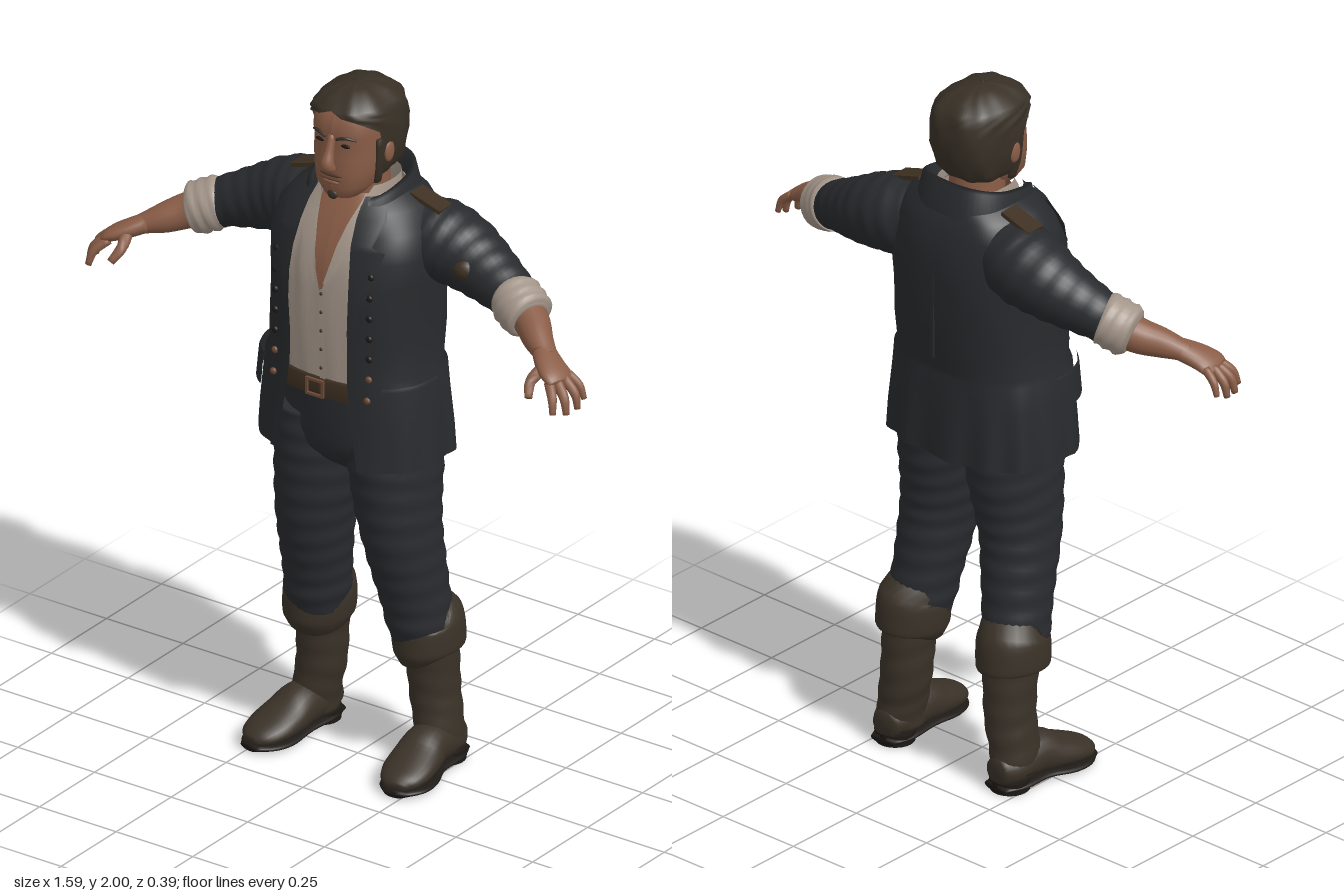
import * as THREE from 'three';

const mat = (name, color) => {
  const m = new THREE.MeshStandardMaterial({ color, side: THREE.DoubleSide });
  m.name = name;
  return m;
};
const M = {
  skin: mat('skin', 0x8a5d47), stubble: mat('stubble', 0x58402f), hair: mat('hair', 0x383026),
  jacket: mat('jacket cloth', 0x282a2d), trousers: mat('trouser cloth', 0x2a2b2f), shirt: mat('linen', 0xa4968a),
  boot: mat('boot leather', 0x3a3228), belt: mat('belt leather', 0x3e3022), metal: mat('copper', 0x6e4a36),
  dark: mat('dark', 0x1d1916),
};
const V = (x, y, z) => new THREE.Vector3(x, y, z);
const POW = 0.8; // squareness of body cross-sections

// Surface through rows of points
function grid(rows, closed) {
  const n = rows[0].length, m = closed ? n : n - 1, idx = [];
  for (let j = 0; j < rows.length - 1; j++) for (let i = 0; i < m; i++) {
    const a = j * n + i, b = j * n + (i + 1) % n;
    idx.push(a, b, b + n, a, b + n, a + n);
  }
  const g = new THREE.BufferGeometry().setFromPoints(rows.flat());
  g.setIndex(idx);
  g.computeVertexNormals();
  return g;
}

// Closed limb along keys [x, y, z, depth radius, side radius], with optional folds
function limb(keys, { segs = 20, steps = 4, ref = V(0, 0, 1), fold = 0, freq = 130 } = {}) {
  const path = new THREE.CatmullRomCurve3(keys.map(k => V(k[0], k[1], k[2])), false, 'catmullrom');
  const size = new THREE.CatmullRomCurve3(keys.map(k => V(k[3], k[4] ?? k[3], 0)), false, 'catmullrom');
  const N = (keys.length - 1) * steps, rows = [];
  let s = 0, last = path.getPoint(0);
  for (let j = -1; j <= N + 1; j++) {
    const u = Math.min(Math.max(j / N, 0), 1), p = path.getPoint(u), r = size.getPoint(u), t = path.getTangent(u);
    if (j < 0 || j > N) r.set(0.0005, 0.0005, 0);
    const b = ref.clone().addScaledVector(t, -ref.dot(t)).normalize(), n = t.clone().cross(b);
    s += p.distanceTo(last);
    last = p;
    rows.push(Array.from({ length: segs }, (_, i) => {
      const a = i / segs * Math.PI * 2, w = 1 + fold * Math.sin(s * freq + 2 * Math.sin(a + 1));
      return p.clone().addScaledVector(b, r.x * w * Math.cos(a)).addScaledVector(n, r.y * w * Math.sin(a));
    }));
  }
  return grid(rows, true);
}

// Point on a body section [y, half width, front z, back z, half opening]
function onSection([y, rx, zf, zb], t, off = 0) {
  const f = v => Math.sign(v) * Math.abs(v) ** POW;
  return V((rx + off) * f(Math.sin(t)), y, (zf + zb) / 2 + ((zf - zb) / 2 + off) * f(Math.cos(t)));
}
const angleAt = (k, x) => Math.asin(Math.min(x / k[1], 1) ** (1 / POW));
function sectionAt(keys, y) {
  const j = Math.max(1, keys.findIndex(k => k[0] >= y)), a = keys[j - 1], b = keys[j];
  return a.map((v, i) => THREE.MathUtils.lerp(v, b[i], (y - a[0]) / (b[0] - a[0])));
}
// Garment wrapped round the body, open at the front
function wrap(keys, { segs = 48, ripple = () => 0 } = {}) {
  return grid(keys.map(k => {
    const t0 = angleAt(k, k[4]);
    return Array.from({ length: segs + 1 }, (_, i) => {
      const t = t0 + (Math.PI * 2 - 2 * t0) * i / segs;
      return onSection(k, t, ripple(t, k[0]));
    });
  }), false);
}
// Thin piece lying on a garment, rows of [y, inner x, outer x]
function patch(keys, rows, off) {
  return grid(rows.map(([y, x0, x1]) => {
    const k = sectionAt(keys, y), a = angleAt(k, x0), b = angleAt(k, x1);
    return Array.from({ length: 9 }, (_, i) => onSection(k, a + (b - a) * i / 8, off));
  }), false);
}
function mirrored(g) {
  const m = g.clone().scale(-1, 1, 1), ix = m.index.array;
  for (let i = 0; i < ix.length; i += 3) [ix[i], ix[i + 1]] = [ix[i + 1], ix[i]];
  return m;
}
const ball = (x, y, z, a, b, c) => new THREE.SphereGeometry(1, 16, 10).scale(a, b, c).translate(x, y, z);

const JACKET = [
  [0.95, 0.272, 0.198, -0.188, 0.13], [1.03, 0.268, 0.193, -0.186, 0.12], [1.12, 0.258, 0.19, -0.182, 0.105],
  [1.195, 0.25, 0.187, -0.178, 0.096], [1.21, 0.238, 0.185, -0.176, 0.095], [1.3, 0.234, 0.186, -0.19, 0.095],
  [1.4, 0.235, 0.186, -0.198, 0.098], [1.48, 0.238, 0.183, -0.2, 0.1], [1.55, 0.24, 0.172, -0.198, 0.095],
  [1.62, 0.225, 0.145, -0.188, 0.085], [1.67, 0.185, 0.115, -0.172, 0.08], [1.705, 0.125, 0.085, -0.15, 0.075]];
const SHIRT = [
  [1.15, 0.2, 0.165, -0.15, 0], [1.3, 0.21, 0.174, -0.16, 0], [1.44, 0.21, 0.171, -0.17, 0.002],
  [1.5, 0.21, 0.163, -0.17, 0.022], [1.55, 0.2, 0.152, -0.165, 0.032], [1.62, 0.175, 0.122, -0.15, 0.047],
  [1.67, 0.13, 0.09, -0.14, 0.06], [1.7, 0.1, 0.07, -0.13, 0.065]];
const HEAD = [
  [1.688, 0.025, 0.085, 0.03, 0], [1.7, 0.05, 0.112, 0, 0], [1.735, 0.08, 0.124, -0.05, 0], [1.78, 0.092, 0.124, -0.08, 0],
  [1.82, 0.098, 0.122, -0.1, 0], [1.86, 0.099, 0.118, -0.11, 0], [1.885, 0.101, 0.123, -0.11, 0], [1.92, 0.1, 0.117, -0.108, 0],
  [1.95, 0.09, 0.1, -0.095, 0], [1.975, 0.06, 0.06, -0.06, 0], [1.985, 0.001, 0.001, -0.001, 0]];
const HAIR = [
  [1.75, 0.085, 0.08, -0.1, 0.08], [1.78, 0.104, 0.1, -0.126, 0.1], [1.84, 0.114, 0.12, -0.142, 0.111],
  [1.895, 0.114, 0.13, -0.144, 0.109], [1.925, 0.112, 0.13, -0.14, 0.088], [1.943, 0.108, 0.13, -0.135, 0.035],
  [1.957, 0.1, 0.122, -0.126, 0], [1.98, 0.076, 0.094, -0.1, 0], [1.995, 0.04, 0.056, -0.06, 0], [2, 0.001, 0.001, -0.001, 0]];

export function createModel() {
  const model = new THREE.Group();
  model.name = 'standingMan';
  const add = (name, g, m) => {
    const mesh = new THREE.Mesh(g, m);
    mesh.name = name;
    model.add(mesh);
  };
  const pair = (name, g, m) => {
    add(name + 'Left', g, m);
    add(name + 'Right', mirrored(g), m);
  };

  // Head and face
  add('head', wrap(HEAD), M.skin);
  add('neck', limb([[0, 1.58, -0.03, 0.085, 0.09], [0, 1.66, -0.025, 0.075, 0.078], [0, 1.76, -0.015, 0.075, 0.075]]), M.skin);
  add('hair', wrap(HAIR, { segs: 72, ripple: (t, y) => 0.003 * Math.sin(9 * t + 40 * y) }), M.hair);
  add('nose', limb([[0, 1.885, 0.116, 0.01, 0.01], [0, 1.84, 0.13, 0.014, 0.013], [0, 1.806, 0.14, 0.019, 0.02], [0, 1.79, 0.13, 0.014, 0.022]]), M.skin);
  add('mouth', ball(0, 1.757, 0.123, 0.033, 0.004, 0.005), M.stubble);
  add('lowerLip', ball(0, 1.748, 0.121, 0.026, 0.007, 0.007), M.skin);
  add('moustache', ball(0, 1.77, 0.122, 0.036, 0.007, 0.006), M.stubble);
  add('chinTuft', ball(0, 1.708, 0.115, 0.016, 0.014, 0.008), M.hair);
  pair('eye', ball(0.04, 1.86, 0.113, 0.016, 0.006, 0.005), M.dark);
  pair('eyebrow', limb([[0.018, 1.878, 0.123, 0.004], [0.045, 1.887, 0.119, 0.005], [0.07, 1.879, 0.102, 0.003]], { segs: 8 }), M.hair);
  pair('ear', ball(0.108, 1.825, 0.008, 0.01, 0.032, 0.02), M.skin);
  pair('sideburn', limb([[0.1, 1.87, 0.035, 0.016, 0.01], [0.094, 1.79, 0.03, 0.018, 0.009], [0.082, 1.735, 0.025, 0.014, 0.008]]), M.hair);

  // Chest, shirt and belt
  add('chest', wrap(SHIRT.map(([y, x, f, b]) => [y, x - 0.008, f - 0.008, b + 0.008, 0])), M.skin);
  add('shirt', wrap(SHIRT, { segs: 96, ripple: (t, y) => 0.002 * Math.sin(22 * t + 9 * y) }), M.shirt);
  pair('shirtLapel', patch(SHIRT, [[1.47, 0.012, 0.02], [1.52, 0.025, 0.052], [1.58, 0.036, 0.075], [1.64, 0.05, 0.09], [1.69, 0.062, 0.092]], 0.01), M.shirt);
  add('shirtCollar', wrap([[1.655, 0.105, 0.095, -0.125, 0.062], [1.69, 0.1, 0.085, -0.12, 0.068], [1.725, 0.096, 0.07, -0.12, 0.08]]), M.shirt);
  add('shirtPlacket', patch(SHIRT, [[1.18, 0, 0.018], [1.3, 0, 0.018], [1.45, 0, 0.018]], 0.005), M.shirt);
  for (let i = 0; i < 5; i++) add('shirtButton', ball(0.009, 1.22 + i * 0.055, 0.18, 0.005, 0.005, 0.003), M.belt);
  add('belt', wrap([[1.13, 0.218, 0.17, -0.165, 0], [1.132, 0.223, 0.178, -0.17, 0], [1.183, 0.22, 0.18, -0.17, 0], [1.186, 0.212, 0.168, -0.16, 0]]), M.belt);
  for (const s of [-1, 1]) {
    add('buckleBar', new THREE.BoxGeometry(0.055, 0.007, 0.008).translate(-0.01, 1.158 + s * 0.022, 0.182), M.metal);
    add('buckleSide', new THREE.BoxGeometry(0.007, 0.05, 0.008).translate(-0.01 + s * 0.026, 1.158, 0.182), M.metal);
  }

  // Jacket with pleated skirt, collar, lapels, pockets and buttons
  add('jacket', wrap(JACKET, {
    segs: 96,
    ripple: (t, y) => y < 1.2 ? 0.005 * Math.sin(14 * t) * (1.2 - y) / 0.25 * (Math.cos(t) < 0.3 ? 1.3 : 0.3) : 0.002 * Math.sin(6 * t + 25 * y),
  }), M.jacket);
  const collarRow = (rx, zf, zb, t0, low, high) => Array.from({ length: 41 }, (_, i) => {
    const t = t0 + (Math.PI * 2 - 2 * t0) * i / 40;
    return onSection([low + (high - low) * (1 - Math.cos(t)) / 2, rx, zf, zb], t);
  });
  add('jacketCollar', grid([collarRow(0.15, 0.125, -0.172, 0.65, 1.64, 1.675), collarRow(0.135, 0.115, -0.155, 0.72, 1.69, 1.755),
    collarRow(0.122, 0.1, -0.138, 0.8, 1.695, 1.758), collarRow(0.115, 0.095, -0.13, 0.8, 1.66, 1.7)], false), M.jacket);
  pair('lapel', patch(JACKET, [[1.34, 0.094, 0.1], [1.42, 0.096, 0.128], [1.5, 0.096, 0.155], [1.585, 0.088, 0.172], [1.6, 0.086, 0.14], [1.66, 0.08, 0.15], [1.69, 0.076, 0.13]], 0.01), M.jacket);
  pair('frontHem', patch(JACKET, [[0.95, 0.13, 0.15], [1.12, 0.105, 0.125], [1.2, 0.095, 0.115], [1.34, 0.095, 0.115]], 0.006), M.jacket);
  pair('pocketFlap', patch(JACKET, [[1.105, 0.19, 0.3], [1.12, 0.185, 0.3], [1.19, 0.18, 0.3], [1.2, 0.18, 0.3]], 0.016), M.jacket);
  for (let i = 0; i < 7; i++) {
    const y = 1.16 + i * 0.06, k = sectionAt(JACKET, y), p = onSection(k, angleAt(k, 0.15), 0.005);
    pair('jacketButton', ball(p.x, p.y, p.z, 0.01, 0.01, 0.007), i < 2 ? M.metal : M.dark);
  }
  add('backSeam', new THREE.BoxGeometry(0.008, 0.3, 0.006).translate(0, 1.4, -0.198), M.jacket);
  pair('shoulderTab', new THREE.BoxGeometry(0.1, 0.012, 0.058).rotateZ(-0.3).translate(0.195, 1.676, -0.06), M.belt);

  // Sleeves, rolled cuffs and forearms
  pair('sleeve', limb([[0.13, 1.585, -0.06, 0.09], [0.21, 1.562, -0.075, 0.11], [0.28, 1.545, -0.08, 0.104], [0.34, 1.525, -0.075, 0.093],
    [0.4, 1.505, -0.064, 0.081], [0.46, 1.485, -0.05, 0.07], [0.5, 1.47, -0.04, 0.066]], { segs: 28, steps: 6, fold: 0.02, freq: 120 }), M.jacket);
  add('sleevePatch', ball(0.345, 1.537, -0.012, 0.038, 0.034, 0.037).rotateZ(0), M.belt);
  pair('rolledCuff', limb([[0.472, 1.48, -0.046, 0.06], [0.482, 1.477, -0.042, 0.072], [0.515, 1.463, -0.03, 0.073], [0.545, 1.45, -0.018, 0.07], [0.555, 1.446, -0.014, 0.052]],
    { segs: 28, fold: 0.04, freq: 200 }), M.shirt);
  pair('forearm', limb([[0.5, 1.468, -0.035, 0.052], [0.56, 1.443, -0.01, 0.049], [0.61, 1.422, 0.03, 0.041], [0.655, 1.405, 0.06, 0.033, 0.028], [0.67, 1.398, 0.07, 0.033, 0.026]]), M.skin);

  // Hands
  pair('palm', limb([[0.645, 1.409, 0.055, 0.033, 0.027], [0.69, 1.389, 0.085, 0.044, 0.025], [0.722, 1.374, 0.1, 0.049, 0.021], [0.742, 1.36, 0.107, 0.042, 0.015]]), M.skin);
  const fingers = [
    [[0.735, 1.372, 0.068], [0.768, 1.345, 0.062], [0.782, 1.308, 0.06], 0.011],
    [[0.738, 1.37, 0.092], [0.776, 1.335, 0.094], [0.786, 1.294, 0.096], 0.0125],
    [[0.732, 1.366, 0.114], [0.767, 1.332, 0.13], [0.778, 1.29, 0.136], 0.013],
    [[0.72, 1.366, 0.132], [0.748, 1.336, 0.158], [0.758, 1.297, 0.17], 0.0125],
    [[0.678, 1.387, 0.105], [0.668, 1.36, 0.145], [0.682, 1.328, 0.175], 0.015]];
  for (const [a, b, c, r] of fingers) pair('finger', limb([[...a, r * 1.15], [...b, r], [...c, r * 0.7]], { segs: 10 }), M.skin);

  // Trousers
  add('hips', limb([[0, 1.18, 0, 0.16, 0.205], [0, 1.05, -0.005, 0.158, 0.218], [0, 0.96, -0.008, 0.148, 0.215], [0, 0.91, -0.008, 0.115, 0.13], [0, 0.87, -0.008, 0.06, 0.05]], { segs: 32 }), M.trousers);
  pair('trouserLeg', limb([[0.115, 1.04, -0.008, 0.15, 0.115], [0.12, 0.92, -0.006, 0.15, 0.117], [0.13, 0.8, -0.002, 0.135, 0.11], [0.141, 0.7, -0.006, 0.122, 0.101],
    [0.15, 0.6, -0.022, 0.11, 0.096], [0.16, 0.5, -0.04, 0.1, 0.09], [0.166, 0.44, -0.05, 0.098, 0.088], [0.172, 0.38, -0.06, 0.085, 0.08]],
    { segs: 28, steps: 8, fold: 0.018, freq: 95 }), M.trousers);

  // Boots
  pair('bootShaft', limb([[0.175, 0.4, -0.08, 0.085, 0.078], [0.18, 0.3, -0.09, 0.077, 0.07], [0.185, 0.2, -0.095, 0.074, 0.067], [0.198, 0.12, -0.093, 0.074, 0.063], [0.205, 0.045, -0.095, 0.074, 0.06]],
    { segs: 24, steps: 6, fold: 0.02, freq: 90 }), M.boot);
  pair('bootCuff', limb([[0.175, 0.435, -0.07, 0.088, 0.08], [0.176, 0.428, -0.073, 0.106, 0.092], [0.178, 0.38, -0.075, 0.11, 0.094], [0.18, 0.345, -0.076, 0.108, 0.09], [0.181, 0.338, -0.077, 0.085, 0.075]],
    { segs: 28 }), M.boot);
  const up = { ref: V(0, 1, 0), segs: 24 };
  pair('bootFoot', limb([[0.2, 0.062, -0.168, 0.04, 0.036], [0.204, 0.065, -0.12, 0.052, 0.058], [0.208, 0.075, -0.03, 0.062, 0.062], [0.215, 0.06, 0.03, 0.05, 0.07],
    [0.224, 0.047, 0.09, 0.037, 0.07], [0.232, 0.037, 0.135, 0.027, 0.054], [0.237, 0.03, 0.16, 0.014, 0.026]], up), M.boot);
  pair('bootSole', limb([[0.2, 0.017, -0.172, 0.012, 0.04], [0.205, 0.017, -0.11, 0.013, 0.06], [0.21, 0.017, -0.02, 0.013, 0.058], [0.222, 0.013, 0.06, 0.013, 0.074],
    [0.23, 0.013, 0.12, 0.012, 0.066], [0.238, 0.014, 0.165, 0.01, 0.03]], up), M.dark);
  pair('bootHeel', new THREE.CylinderGeometry(0.056, 0.054, 0.034, 24).translate(0.204, 0.017, -0.118), M.dark);
  return model;
}
